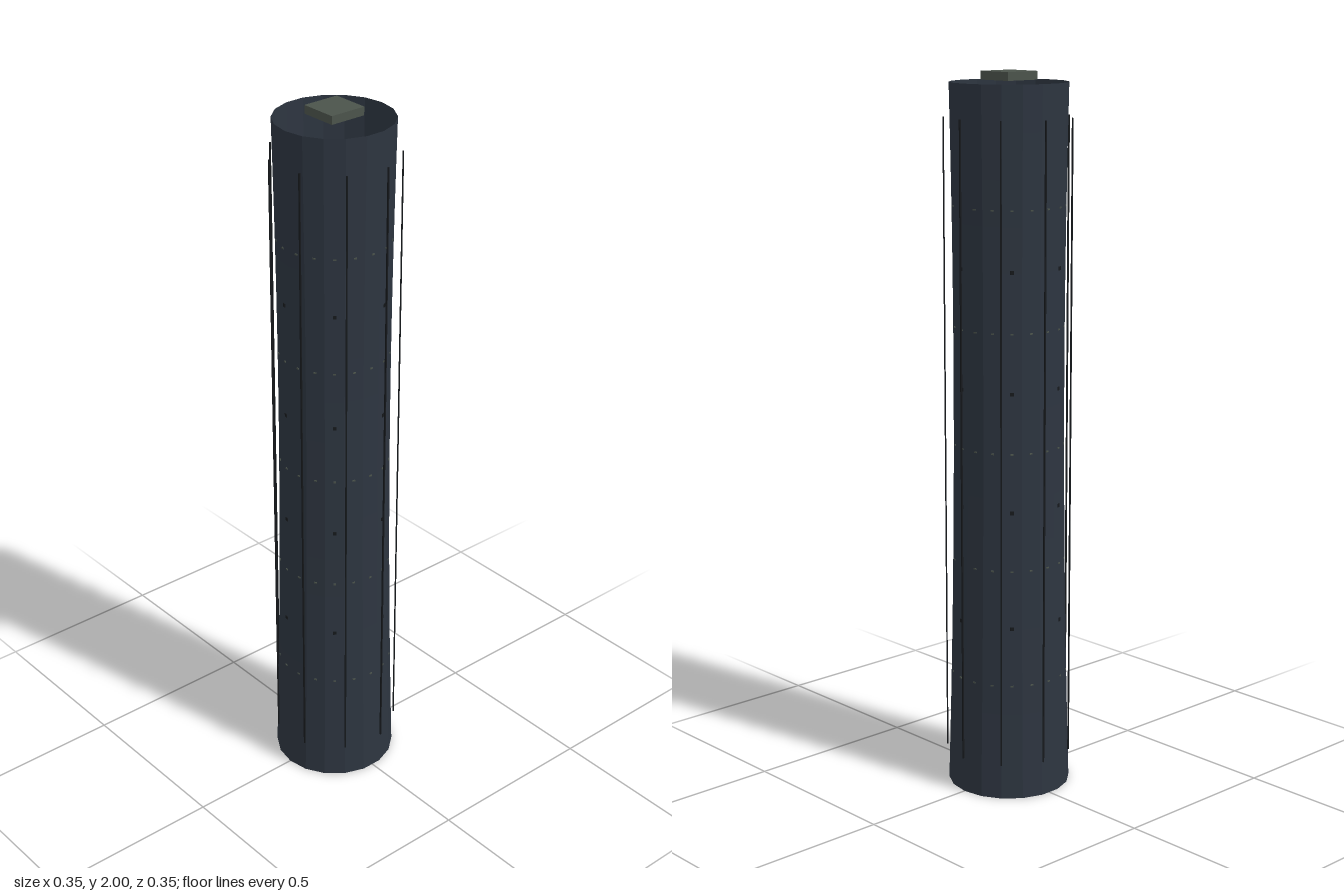
import * as THREE from 'three';

const CX = -0.003, SIDES = 18, HEIGHT = 1.972;

// waisted tower radius at a height
const radiusAt = (y) => 0.1525 * Math.sqrt(1 + ((y - 1.2) / 2.3) ** 2);

export function createModel() {
  const model = new THREE.Group();
  const make = (name, color) => Object.assign(new THREE.MeshStandardMaterial({ color }), { name });
  const shellMat = make('dark slate', 0x2d3540);
  shellMat.side = THREE.DoubleSide;
  shellMat.flatShading = true;
  const ribMat = make('near black', 0x16191c);
  const plateMat = make('grey green', 0x4b534b);

  const add = (name, geometry, material, x, y, z, turn = 0) => {
    const mesh = new THREE.Mesh(geometry, material);
    mesh.name = name;
    mesh.position.set(x, y, z);
    mesh.rotation.y = turn;
    model.add(mesh);
  };
  // place a part around the axis, its local x pointing outwards
  const around = (name, geometry, material, degrees, r, y) => {
    const a = THREE.MathUtils.degToRad(degrees);
    add(name, geometry, material, CX + r * Math.cos(a), y, r * Math.sin(a), -a);
  };

  // open-ended faceted shell
  const profile = [];
  for (let i = 0; i <= 16; i++) {
    const y = (HEIGHT * i) / 16;
    profile.push(new THREE.Vector2(radiusAt(y), y));
  }
  add('towerShell', new THREE.LatheGeometry(profile, SIDES), shellMat, CX, 0, 0, Math.PI / 2);

  // floating square plate at the top
  add('topPlate', new THREE.BoxGeometry(0.107, 0.023, 0.107), plateMat, CX, 1.9885, 0);

  // nine thin vertical rods
  const rod = new THREE.BoxGeometry(0.004, 1.78, 0.004);
  for (let i = 0; i < 9; i++) around('verticalRod', rod, ribMat, i * 40, 0.176, 0.99);

  // rows of small studs at the middle of each facet
  const apothem = Math.cos(Math.PI / SIDES);
  const stud = new THREE.BoxGeometry(0.004, 0.004, 0.008);
  for (let row = 1; row <= 5; row++) {
    const y = row * 0.329;
    for (let i = 0; i < SIDES; i++) around('stud', stud, plateMat, 10 + i * 20, radiusAt(y) * apothem, y);
  }

  // dark ports between the stud rows
  const port = new THREE.BoxGeometry(0.004, 0.01, 0.01);
  for (let row = 0; row < 4; row++) {
    const y = 0.495 + row * 0.329;
    for (let i = 0; i < 6; i++) around('port', port, ribMat, 10 + i * 60, radiusAt(y) * apothem, y);
  }
  return model;
}
